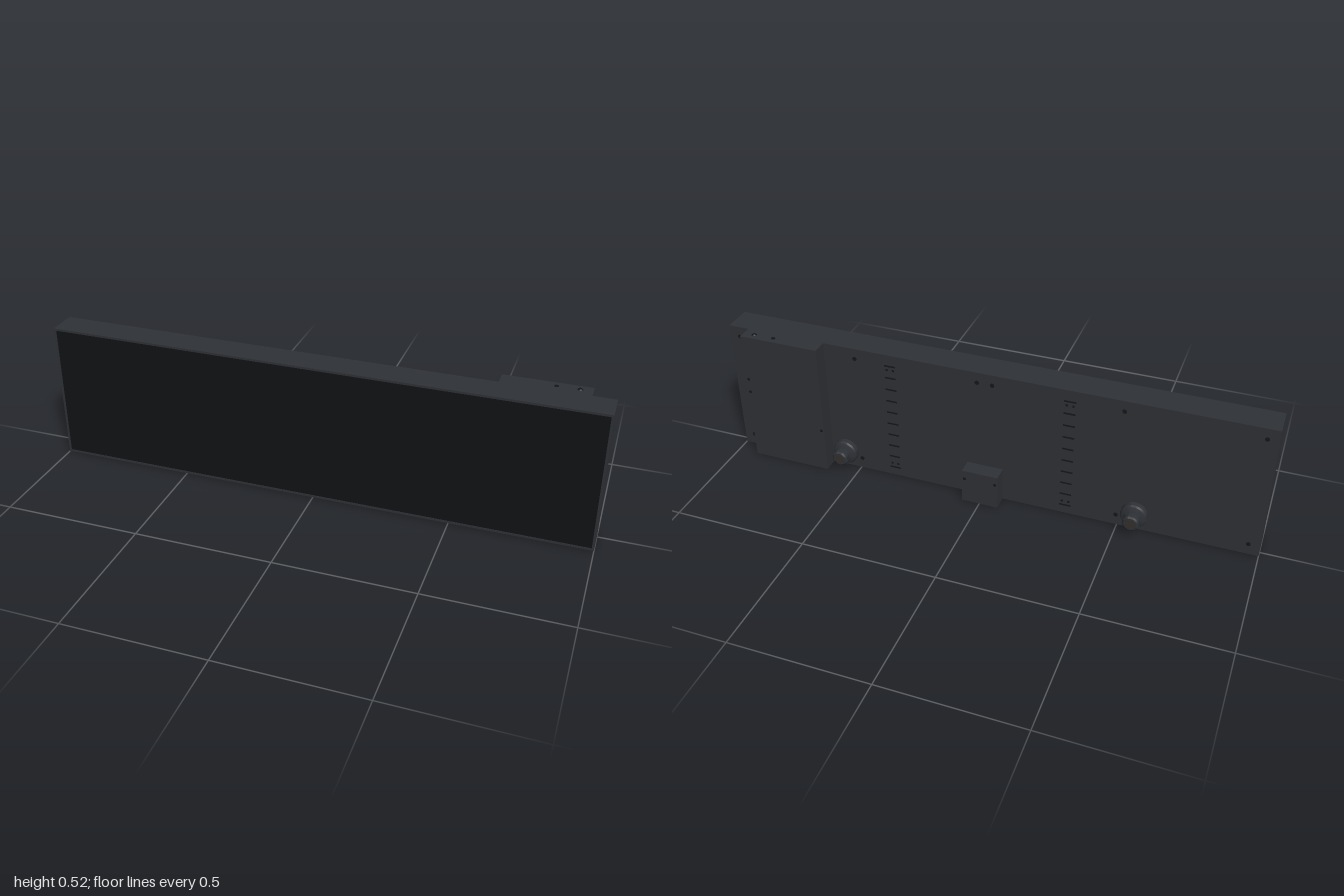
import * as THREE from 'three';
import { toCreasedNormals } from 'three/addons/utils/BufferGeometryUtils.js';

const mat = (color) => new THREE.MeshStandardMaterial({ color });
const shellMat = mat(0x2e3136);
const screenMat = mat(0x111214);
const darkMat = mat(0x141618);
const tipMat = mat(0x35302d);
const portMat = mat(0xcccccc);

const H = 0.52;          // overall height
const BACK = -0.022;     // rear face of the main cabinet
const REAR = -0.08;      // rear face of the attached boxes

export function createModel() {
  const model = new THREE.Group();

  const add = (name, geometry, material, x = 0, y = 0, z = 0) => {
    const mesh = new THREE.Mesh(geometry, material);
    mesh.name = name;
    mesh.position.set(x, y, z);
    model.add(mesh);
    return mesh;
  };

  // Box given by its limits on each axis
  const block = (name, x0, x1, y0, y1, z0, z1, material = shellMat) =>
    add(name, new THREE.BoxGeometry(x1 - x0, y1 - y0, z1 - z0), material,
      (x0 + x1) / 2, (y0 + y1) / 2, (z0 + z1) / 2);

  // Main cabinet
  block('cabinet', -1, 1, 0, H, BACK, 0.082);

  // Thin front bezel around the slightly recessed screen
  const rect = (shape, x, y0, y1) => shape.moveTo(-x, y0).lineTo(x, y0).lineTo(x, y1).lineTo(-x, y1).closePath();
  const bezel = rect(new THREE.Shape(), 1, 0, H);
  bezel.holes.push(rect(new THREE.Path(), 0.992, 0.008, H - 0.008));
  add('bezel', new THREE.ExtrudeGeometry(bezel, { depth: 0.006, bevelEnabled: false }), shellMat, 0, 0, 0.082);
  block('screen', -0.992, 0.992, 0.008, H - 0.008, 0.081, 0.086, screenMat);

  // Rear electronics housing and cable box
  block('electronicsHousing', 0.615, 0.92, 0, H, REAR, BACK + 0.002);
  block('cableBox', -0.07, 0.066, 0, 0.133, REAR, BACK + 0.002);
  block('cablePort', -0.02, 0.02, -0.001, 0.002, -0.062, -0.05, portMat);

  // Ventilation slots under the housing
  for (let i = 0; i < 14; i++) {
    const x = 0.645 + i * 0.019;
    block('bottomVent', x - 0.004, x + 0.004, -0.001, 0.002, -0.074, -0.03, darkMat);
  }

  // Two columns of rear slots, with a pair of dots at each end
  for (const x of [0.357, -0.307]) {
    for (let i = 0; i < 10; i++) {
      const y = 0.035 + i * 0.049;
      block('rearSlot', x - 0.021, x + 0.021, y - 0.003, y + 0.003, BACK - 0.001, BACK + 0.002, darkMat);
    }
    for (const y of [0.052, 0.46]) for (const side of [-1, 1]) {
      block('rearSlotDot', x + side * 0.012 - 0.004, x + side * 0.012 + 0.004, y - 0.004, y + 0.004,
        BACK - 0.001, BACK + 0.002, darkMat);
    }
  }

  // Screw heads on the rear faces
  const screwGeo = new THREE.CylinderGeometry(0.008, 0.008, 0.003, 16);
  const screw = (x, y, z, r = 1) => {
    const s = add('screw', screwGeo, darkMat, x, y, z);
    s.rotation.x = Math.PI / 2;
    s.scale.set(r, 1, r);
  };
  for (const side of [-1, 1]) {
    for (const y of [0.043, 0.48]) {
      screw(side * 0.96, y, BACK);
      screw(side * 0.494, y, BACK);
    }
    screw(side * 0.028, 0.48, BACK);
    screw(side * 0.058 - 0.002, 0.1, REAR, 0.7);
  }
  for (const [x, y] of [[0.91, 0.34], [0.91, 0.285], [0.625, 0.175]]) screw(x, y, REAR, 0.7);

  // Button and screw on top of the housing
  add('topButton', new THREE.CylinderGeometry(0.006, 0.011, 0.006, 20), darkMat, 0.877, H + 0.001, -0.053);
  add('topScrew', new THREE.CylinderGeometry(0.008, 0.008, 0.002, 20), darkMat, 0.8, H, -0.053);

  // Turned rear knobs: flange, shoulder, neck and cap
  const profile = [[0.048, 0], [0.048, 0.018], [0.044, 0.025], [0.036, 0.028], [0.024, 0.032],
    [0.024, 0.038], [0.03, 0.042], [0.03, 0.061], [0.024, 0.066], [0, 0.066]]
    .map(([r, d]) => new THREE.Vector2(r, d));
  const knobGeo = toCreasedNormals(new THREE.LatheGeometry(profile, 40), 0.5);
  for (const x of [-0.56, 0.556]) {
    add('rearKnob', knobGeo, shellMat, x, 0.067, BACK).rotation.x = -Math.PI / 2;
    add('knobTip', new THREE.CylinderGeometry(0.019, 0.019, 0.002, 32), tipMat, x, 0.067, BACK - 0.066)
      .rotation.x = -Math.PI / 2;
  }

  return model;
}
